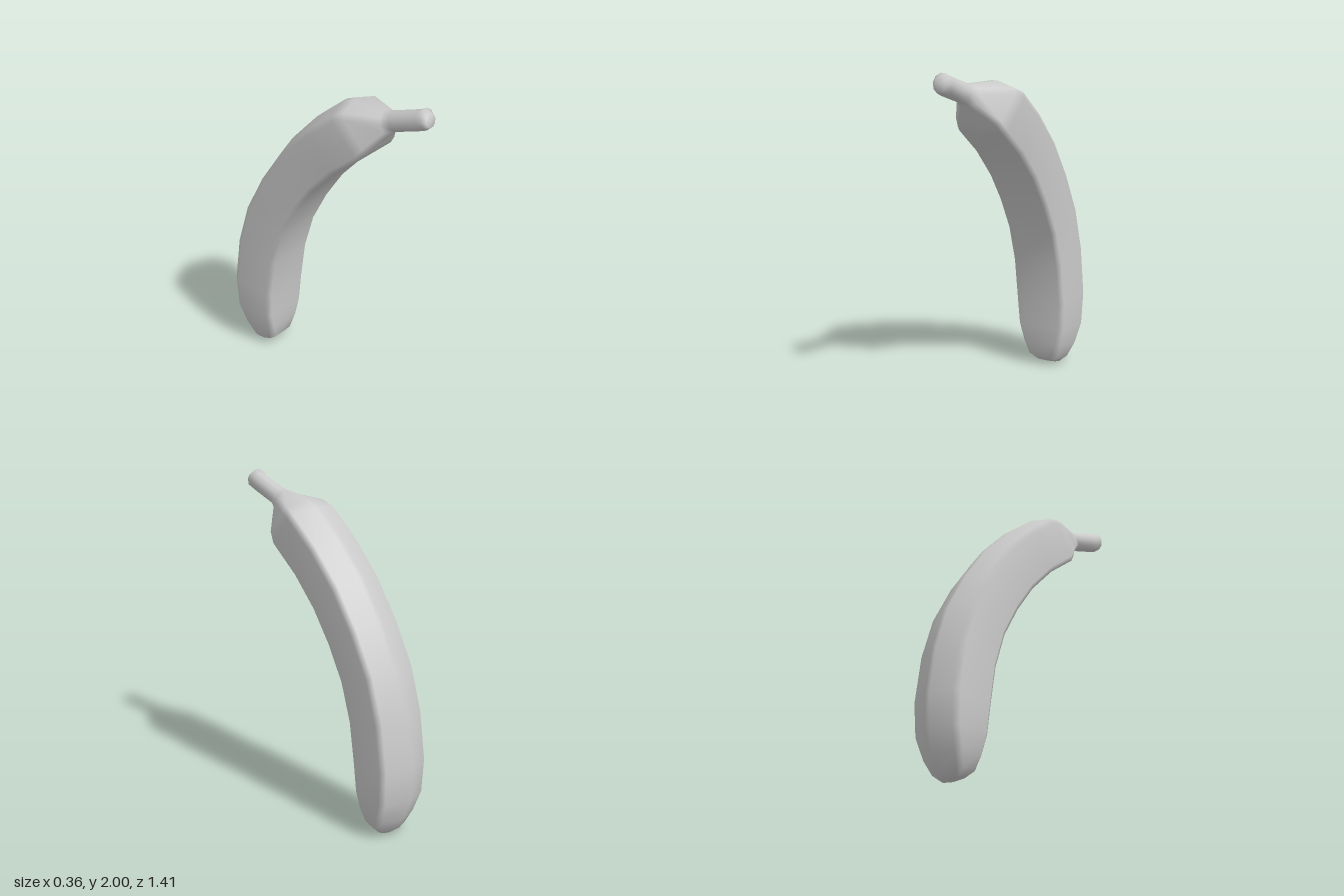
import * as THREE from 'three';

// Rings from the blossom end to the stem tip:
// [inner z, inner y, outer z, outer y, half width, centre x, roundness]
const RINGS = [
  [-0.46, 0.022, -0.55, 0.002, 0.07, -0.005, 0.6],
  [-0.415, 0.065, -0.60, 0.04, 0.115, -0.003, 0.4],
  [-0.395, 0.16, -0.645, 0.12, 0.147, 0, 0.2],
  [-0.385, 0.27, -0.694, 0.255, 0.172, 0, 0.05],
  [-0.373, 0.44, -0.706, 0.466, 0.18, 0, 0],
  [-0.336, 0.69, -0.665, 0.767, 0.18, 0, 0],
  [-0.267, 0.915, -0.585, 1.03, 0.18, 0, 0],
  [-0.16, 1.116, -0.45, 1.286, 0.18, 0, 0],
  [-0.034, 1.30, -0.29, 1.52, 0.18, 0, 0],
  [0.13, 1.476, -0.10, 1.72, 0.18, 0, 0],
  [0.315, 1.624, 0.087, 1.873, 0.18, 0, 0],
  [0.355, 1.68, 0.167, 1.905, 0.165, -0.002, 0.1],
  [0.44, 1.785, 0.395, 1.911, 0.075, -0.03, 0.8],
  [0.48, 1.812, 0.445, 1.92, 0.056, -0.033, 1],
  [0.66, 1.874, 0.625, 1.982, 0.056, -0.033, 1],
  [0.69, 1.888, 0.66, 2.0, 0.06, -0.033, 1],
  [0.708, 1.905, 0.69, 1.98, 0.042, -0.033, 1],
];

// Half of the bevelled five-sided section: [side, depth from inner to outer]
const HALF = [[0.1, 1], [0.88, 0.87], [1, 0.76], [0.93, 0.08], [0.8, 0]];
const SECTION = [...HALF, ...HALF.map(([u, t]) => [-u, t]).reverse()];
const N = SECTION.length;

function ringPoints([zi, yi, zo, yo, w, cx, round]) {
  return SECTION.map(([u, t], j) => {
    // blend from the five-sided section to a circle
    const a = ((j + 0.5) / N) * Math.PI * 2;
    const s = THREE.MathUtils.lerp(u, Math.sin(a), round);
    const d = THREE.MathUtils.lerp(t, 0.5 + (0.5 * Math.cos(a)) / Math.cos(Math.PI / N), round);
    const skew = -0.01 * (1 - d) * (1 - round);
    return new THREE.Vector3(cx + w * s + skew, yi + (yo - yi) * d, zi + (zo - zi) * d);
  });
}

function skin(rings) {
  const points = rings.flat();
  const index = [];
  for (let i = 0; i < rings.length - 1; i++) {
    for (let j = 0; j < N; j++) {
      const k = (j + 1) % N;
      const a = i * N + j, b = i * N + k, c = a + N, d = b + N;
      index.push(a, c, b, b, c, d);
    }
  }
  // end caps
  const cap = (ring, start, flip) => {
    const centre = points.length;
    points.push(ring.reduce((sum, p) => sum.add(p), new THREE.Vector3()).divideScalar(N));
    for (let j = 0; j < N; j++) {
      const a = start + j, b = start + ((j + 1) % N);
      index.push(centre, flip ? b : a, flip ? a : b);
    }
  };
  cap(rings[0], 0, false);
  cap(rings[rings.length - 1], (rings.length - 1) * N, true);
  const geometry = new THREE.BufferGeometry().setFromPoints(points);
  geometry.setIndex(index);
  geometry.computeVertexNormals();
  return geometry;
}

export function createModel() {
  const group = new THREE.Group();
  group.name = 'banana';
  // peel and stem are one continuous smooth skin
  const peel = new THREE.Mesh(
    skin(RINGS.map(ringPoints)),
    new THREE.MeshStandardMaterial({ color: 0xcccccc })
  );
  peel.name = 'peelWithStem';
  group.add(peel);
  return group;
}
